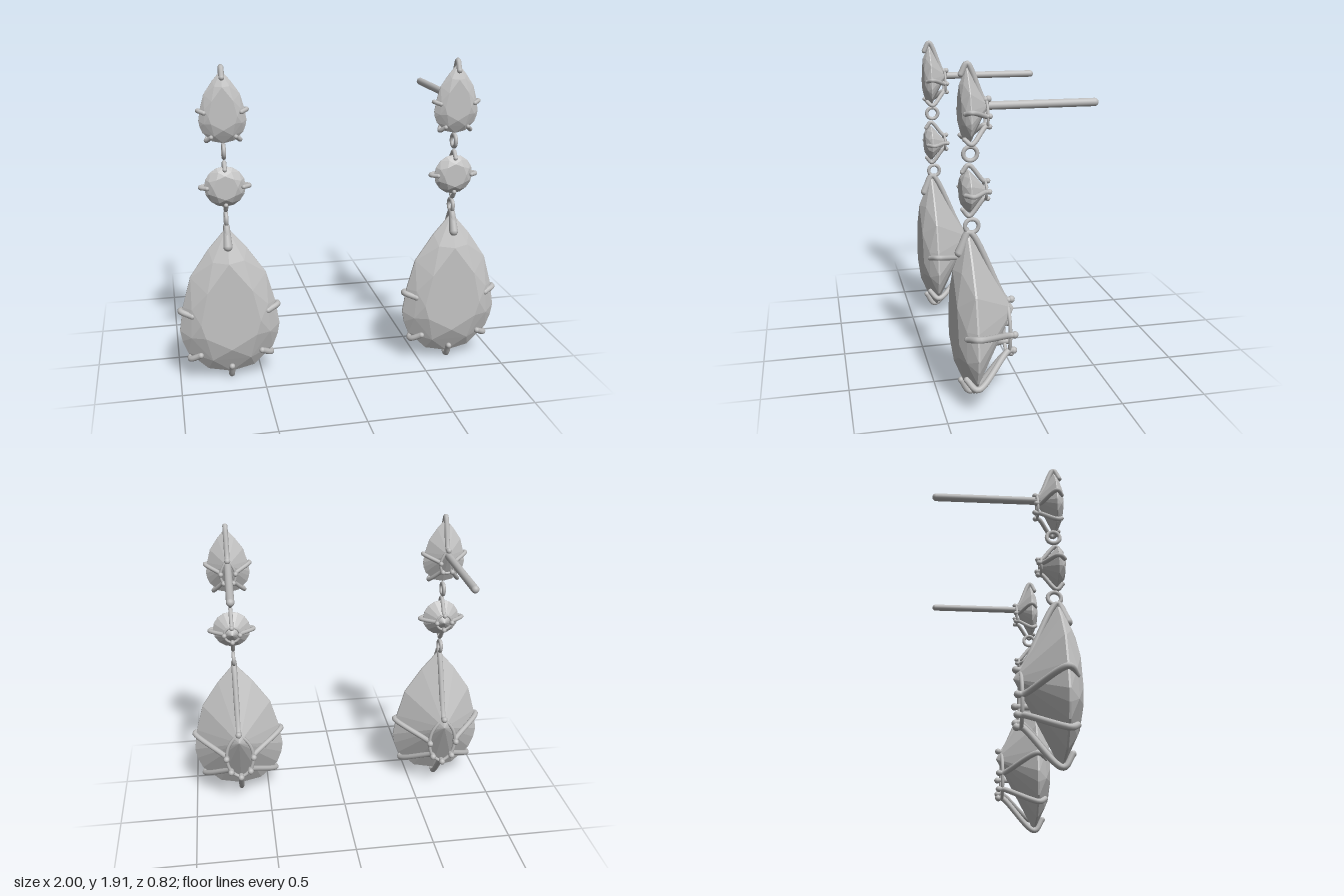
import * as THREE from 'three';
import { ConvexGeometry } from 'three/addons/geometries/ConvexGeometry.js';

const V = (x, y, z) => new THREE.Vector3(x, y, z);
const GIRDLE_Z = 0.32;

export function createModel() {
  const stone = new THREE.MeshStandardMaterial({ color: 0xc4c4c4 });
  stone.name = 'stone grey';
  const metal = new THREE.MeshStandardMaterial({ color: 0xbcbcbc });
  metal.name = 'metal grey';

  function add(parent, name, geometry, material, pos) {
    const mesh = new THREE.Mesh(geometry, material);
    mesh.name = name;
    if (pos) mesh.position.copy(pos);
    parent.add(mesh);
    return mesh;
  }

  // Faceted stone: table, star ring, girdle band and pointed back
  function gem(parent, name, outline, centreY, culetY, crown, depth) {
    const pts = [];
    const ring = (p, s, z) => pts.push(V(p[0] * s, centreY + (p[1] - centreY) * s, z));
    outline.forEach((p, i) => {
      ring(p, 1, GIRDLE_Z + crown * 0.06);
      ring(p, 1, GIRDLE_Z - crown * 0.06);
      if (i % 2 === 0) ring(p, 0.59, GIRDLE_Z + crown);
      else ring(p, 0.82, GIRDLE_Z + crown * 0.62);
    });
    pts.push(V(0, culetY, GIRDLE_Z - depth));
    add(parent, name, new ConvexGeometry(pts), stone);
  }

  // Round wire with rounded ends
  function wire(parent, name, points, r, closed = false) {
    const group = new THREE.Group();
    group.name = name;
    parent.add(group);
    const curve = new THREE.CatmullRomCurve3(points, closed);
    add(group, name + 'Wire', new THREE.TubeGeometry(curve, 36, r, 10, closed), metal);
    if (closed) return;
    add(group, name + 'Tip', new THREE.SphereGeometry(r, 12, 8), metal, points[0]);
    add(group, name + 'Foot', new THREE.SphereGeometry(r * 1.15, 12, 8), metal, points[points.length - 1]);
  }

  // Claw from the front face, round the girdle, to the back
  function prong(parent, tip, peak, foot, r) {
    const bend = V(foot.x, foot.y, foot.z + r * 1.6);
    wire(parent, 'prong', [tip, peak, bend, foot], r);
  }
  function prongPair(parent, tip, peak, foot, r) {
    for (const s of [-1, 1]) {
      prong(parent, ...[tip, peak, foot].map((p) => V(p.x * s, p.y, p.z)), r);
    }
  }

  // Pear outline, right half mirrored to the left
  const half = [[0, 0.97], [0.112, 0.84], [0.225, 0.674], [0.276, 0.49], [0.3, 0.34],
    [0.257, 0.19], [0.14, 0.075], [0, 0.043]];
  half.splice(5, 0, [0.288, 0.27]);
  const pear = [...half, ...half.slice(1, -1).reverse().map(([x, y]) => [-x, y])];
  const smallPear = pear.map(([x, y]) => [x * 0.45, 1.47 + (y - 0.043) * 0.445]);
  const round = Array.from({ length: 16 }, (_, i) => {
    const a = (i * Math.PI) / 8;
    return [0.12 * Math.sin(a), 1.215 + 0.12 * Math.cos(a)];
  });

  function earring(side) {
    const e = new THREE.Group();
    e.name = side > 0 ? 'leftEarring' : 'rightEarring';
    e.position.x = 0.69 * side;

    // Large drop
    const drop = new THREE.Group();
    drop.name = 'largeDrop';
    e.add(drop);
    gem(drop, 'largePearStone', pear, 0.48, 0.51, 0.09, 0.26);
    const R = 0.018;
    prong(drop, V(0, 0.87, 0.373), V(0, 0.98, 0.315), V(0, 0.565, 0.075), R);
    prongPair(drop, V(0.225, 0.445, 0.37), V(0.292, 0.465, 0.32), V(0.09, 0.385, 0.075), R);
    prongPair(drop, V(0.185, 0.185, 0.37), V(0.247, 0.15, 0.32), V(0.065, 0.28, 0.075), R);
    prong(drop, V(0, 0.095, 0.37), V(0, 0.02, 0.315), V(0, 0.235, 0.075), R);
    wire(drop, 'largeBasketRing', [V(0, 0.545, 0.1), V(0.065, 0.48, 0.1), V(0.088, 0.385, 0.1),
      V(0.065, 0.28, 0.1), V(0, 0.23, 0.1), V(-0.065, 0.28, 0.1), V(-0.088, 0.385, 0.1),
      V(-0.065, 0.48, 0.1)], 0.011, true);

    // Broad tapering bail claw at the top of the drop
    const low = V(0, 0.865, 0.37), high = V(0, 0.98, 0.325);
    const bail = add(drop, 'bailClaw', new THREE.CylinderGeometry(0.018, 0.027, low.distanceTo(high), 16),
      metal, low.clone().lerp(high, 0.5));
    bail.quaternion.setFromUnitVectors(V(0, 1, 0), high.clone().sub(low).normalize());
    add(drop, 'bailClawTip', new THREE.SphereGeometry(0.027, 16, 10), metal, low);

    // Middle round stone
    const middle = new THREE.Group();
    middle.name = 'middleStone';
    e.add(middle);
    gem(middle, 'roundStone', round, 1.215, 1.215, 0.042, 0.11);
    for (let i = 0; i < 4; i++) {
      const c = Math.cos((i * Math.PI) / 2), s = Math.sin((i * Math.PI) / 2);
      const at = (r, z) => V(r * c, 1.215 + r * s, z);
      prong(middle, at(0.105, 0.35), at(0.142, 0.315), at(0.05, 0.21), 0.013);
    }
    add(middle, 'roundBasketRing', new THREE.TorusGeometry(0.05, 0.008, 8, 32), metal, V(0, 1.215, 0.225));

    // Top stud stone
    const stud = new THREE.Group();
    stud.name = 'stud';
    e.add(stud);
    gem(stud, 'smallPearStone', smallPear, 1.665, 1.678, 0.042, 0.115);
    prong(stud, V(0, 1.845, 0.352), V(0, 1.9, 0.318), V(0, 1.71, 0.205), 0.016);
    prongPair(stud, V(0.105, 1.65, 0.348), V(0.138, 1.661, 0.318), V(0.045, 1.625, 0.205), 0.013);
    prongPair(stud, V(0.07, 1.51, 0.348), V(0.096, 1.487, 0.315), V(0.03, 1.567, 0.205), 0.013);
    wire(stud, 'studBasketRing', [V(0, 1.705, 0.215), V(0.045, 1.63, 0.215), V(0.03, 1.567, 0.215),
      V(-0.03, 1.567, 0.215), V(-0.045, 1.63, 0.215)], 0.008, true);

    // Ear post
    const post = add(stud, 'earPost', new THREE.CylinderGeometry(0.023, 0.023, 0.595, 20), metal, V(0, 1.675, -0.0925));
    post.rotation.x = Math.PI / 2;
    add(stud, 'earPostTip', new THREE.SphereGeometry(0.023, 20, 12), metal, V(0, 1.675, -0.387));

    // Jump rings linking the three stones
    for (const [y, z] of [[1.42, 0.305], [1.015, 0.3]]) {
      const link = add(e, 'jumpRing', new THREE.TorusGeometry(0.038, 0.012, 10, 32), metal, V(0, y, z));
      link.rotation.y = Math.PI / 2;
    }
    return e;
  }

  const model = new THREE.Group();
  model.name = 'dropEarrings';
  model.add(earring(-1), earring(1));
  return model;
}
